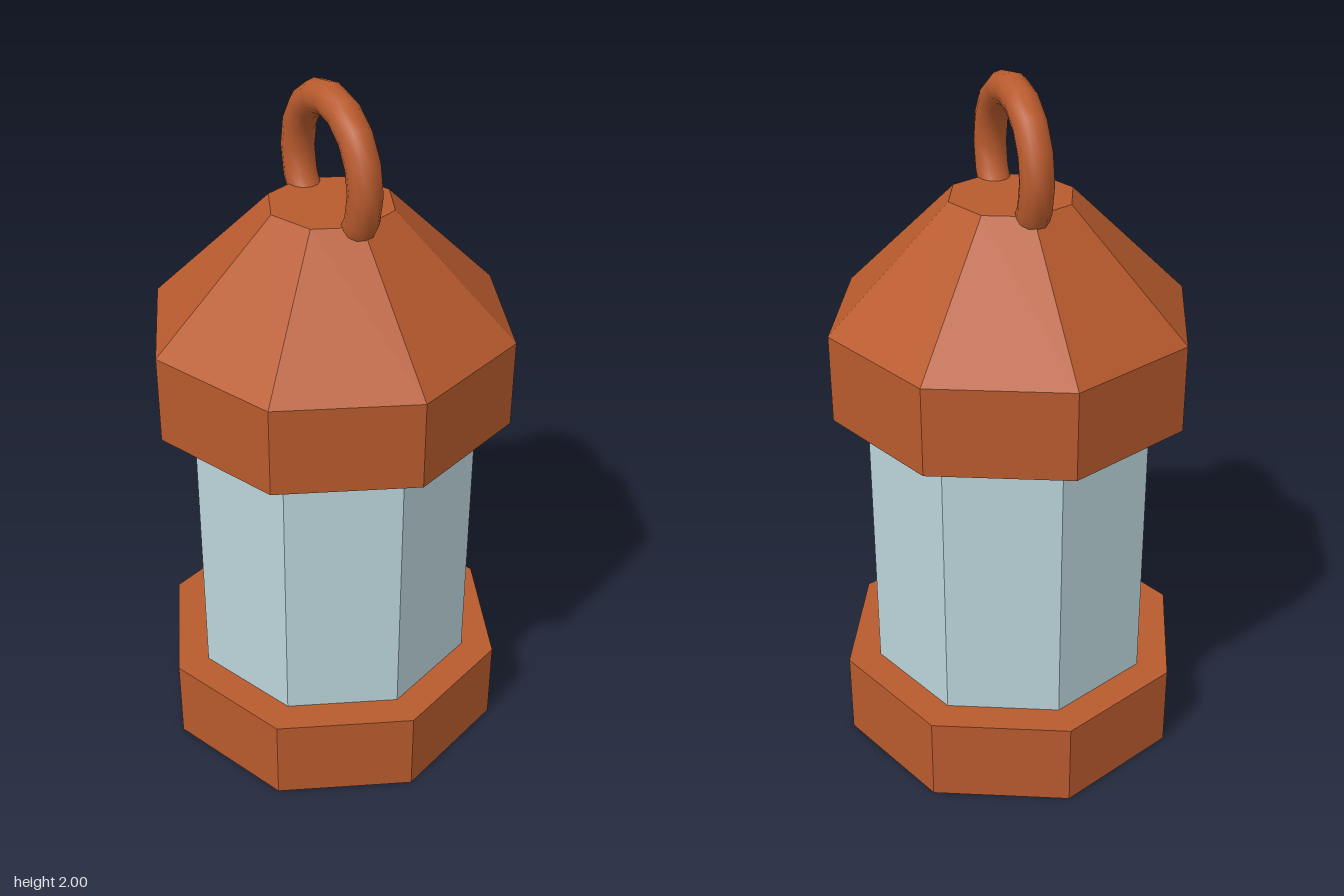
import * as THREE from 'three';

export function createModel() {
  const model = new THREE.Group();
  model.name = 'lantern';

  const copper = new THREE.MeshStandardMaterial({ color: 0xb85a2d, flatShading: true });
  const copperSmooth = new THREE.MeshStandardMaterial({ color: 0xb85a2d });
  const glass = new THREE.MeshStandardMaterial({ color: 0xbad4da, flatShading: true });

  // Octagonal section between two heights, corners on the x and z axes
  function octagon(name, bottomRadius, topRadius, y0, y1, material) {
    const geometry = new THREE.CylinderGeometry(topRadius, bottomRadius, y1 - y0, 8);
    const mesh = new THREE.Mesh(geometry, material);
    mesh.name = name;
    mesh.position.y = (y0 + y1) / 2;
    model.add(mesh);
  }

  octagon('base', 0.517, 0.517, 0, 0.253, copper);
  octagon('glassChamber', 0.42, 0.42, 0.253, 1.08, glass);

  // Cap: straight rim and sloping roof as one closed profile
  const profile = [[0, 1.08], [0.517, 1.08], [0.517, 1.333], [0.175, 1.672], [0, 1.672]];
  const cap = new THREE.Mesh(
    new THREE.LatheGeometry(profile.map(([r, y]) => new THREE.Vector2(r, y)), 8), copper);
  cap.name = 'cap';
  model.add(cap);

  // Hanging ring, its lower part sunk into the roof
  const ring = new THREE.Mesh(new THREE.TorusGeometry(0.19, 0.046, 12, 16), copperSmooth);
  ring.name = 'hangingRing';
  ring.rotation.y = Math.PI / 2;
  ring.position.set(-0.003, 1.764, 0);
  model.add(ring);

  return model;
}
